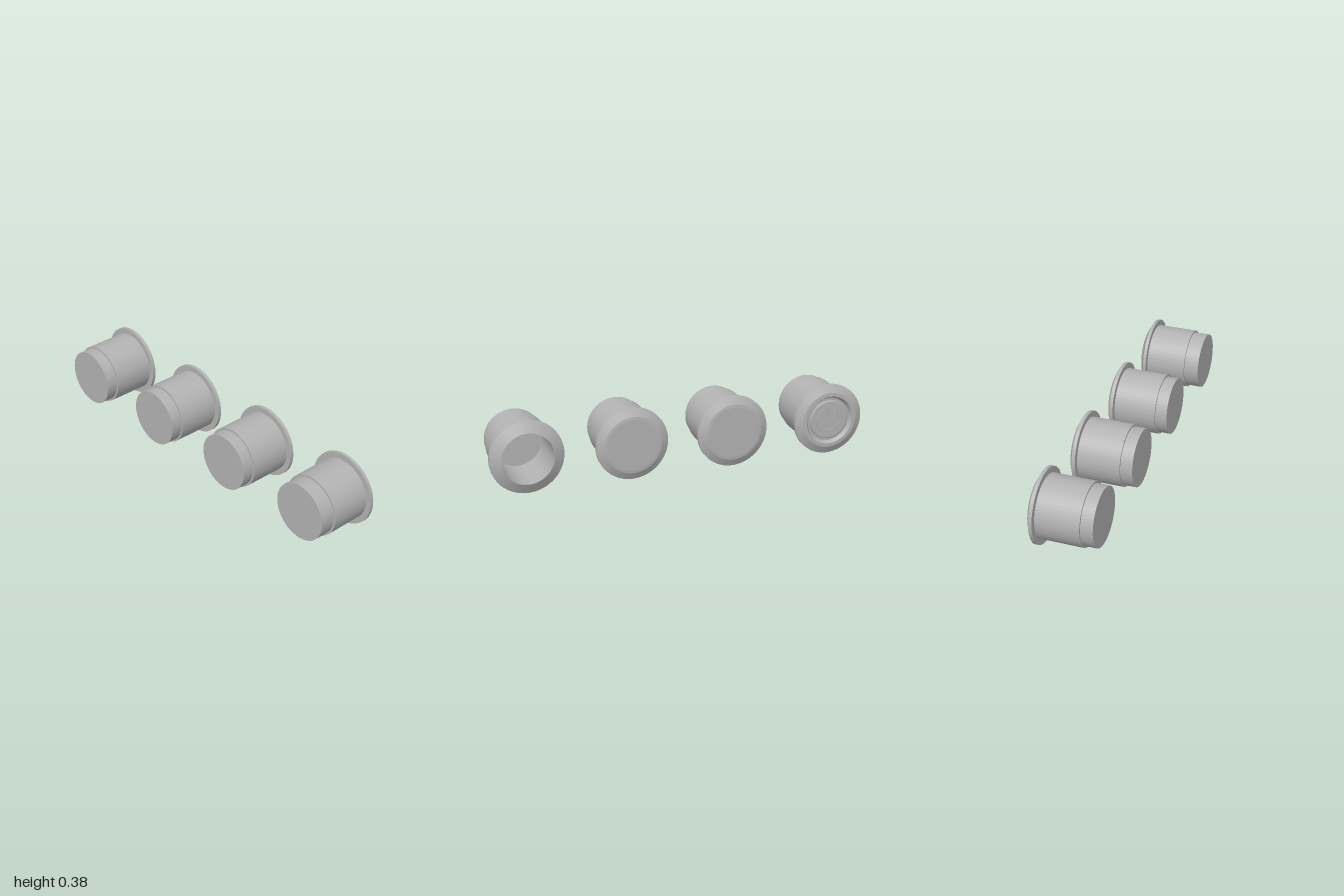
import * as THREE from 'three';
import { toCreasedNormals } from 'three/addons/utils/BufferGeometryUtils.js';

const CENTRE_Y = 0.19;
const SPACING = 0.54;

export function createModel() {
  const grey = new THREE.MeshStandardMaterial({ color: 0xb2b2b2 });
  grey.name = 'grey plastic';
  const model = new THREE.Group();
  model.name = 'pushButtonSet';

  // Turned part along z: pairs of [radius, z], listed from the back to the front
  function turned(name, profile) {
    const points = profile.map(([r, z]) => new THREE.Vector2(r, z));
    const geometry = new THREE.LatheGeometry(points, 64).rotateX(Math.PI / 2);
    const mesh = new THREE.Mesh(toCreasedNormals(geometry, 0.05), grey);
    mesh.name = name;
    return mesh;
  }

  // Flat shape raised from z towards the back
  function raised(name, shape, z, height) {
    const geometry = new THREE.ExtrudeGeometry(shape, { depth: height, bevelEnabled: false, curveSegments: 40 });
    const mesh = new THREE.Mesh(geometry.rotateY(Math.PI), grey);
    mesh.position.z = z;
    mesh.name = name;
    return mesh;
  }

  // Underside of the flange, barrel and narrower plug
  const barrel = (step, end) => [
    [0.189, -0.122], [0.159, -0.122], [0.159, step], [0.149, step], [0.149, end], [0, end],
  ];
  const bevel = [[0.135, -0.162], [0.15, -0.16], [0.189, -0.14]];

  function addButton(name, index, parts) {
    const button = new THREE.Group();
    button.name = name;
    button.position.set((index - 1.5) * SPACING, CENTRE_Y, 0);
    button.add(...parts);
    model.add(button);
  }

  // Power symbol: broken ring with a bar in its gap
  const gap = 0.5;
  const arc = new THREE.Shape();
  arc.absarc(0, 0, 0.072, Math.PI / 2 + gap, Math.PI * 2.5 - gap, false);
  arc.absarc(0, 0, 0.054, Math.PI * 2.5 - gap, Math.PI / 2 + gap, true);
  arc.closePath();
  const bar = new THREE.Shape();
  bar.absarc(0, 0.068, 0.009, 0, Math.PI, false);
  bar.absarc(0, 0.024, 0.009, Math.PI, Math.PI * 2, false);
  bar.closePath();

  // Button with a recessed face and raised power symbol
  addButton('powerButton', 0, [
    turned('powerHousing', [[0, -0.142], [0.118, -0.142], [0.13, -0.161], ...bevel.slice(1), ...barrel(0.1, 0.162)]),
    turned('powerCap', [[0, -0.152], [0.1, -0.152], [0.105, -0.149], [0.105, -0.141]]),
    raised('powerArc', arc, -0.151, 0.006),
    raised('powerBar', bar, -0.151, 0.006),
  ]);

  // Two plain buttons with flat faces
  for (const i of [1, 2]) {
    addButton('plainButton' + i, i, [turned('plainHousing', [[0, -0.162], ...bevel, ...barrel(0.1, 0.162)])]);
  }

  // Hollow button, open at the back down to the inner floor
  addButton('hollowButton', 3, [
    turned('hollowHousing', [
      [0, 0.088], [0.132, 0.088], [0.132, -0.167], [0.134, -0.167], [0.189, -0.138], ...barrel(0.09, 0.168),
    ]),
  ]);

  return model;
}
